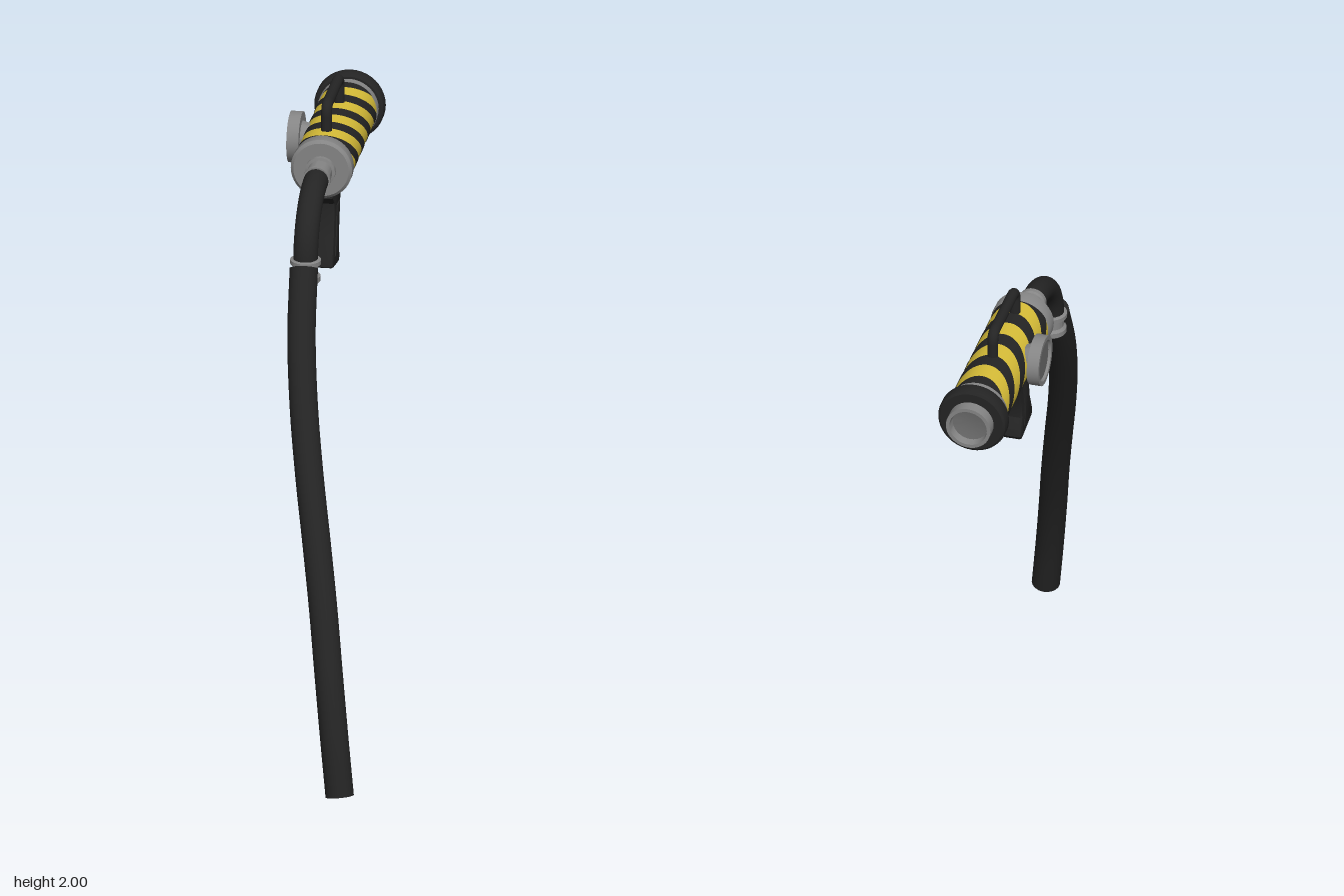
import * as THREE from 'three';
import { toCreasedNormals } from 'three/addons/utils/BufferGeometryUtils.js';

const AX = -0.07, AY = 1.8; // barrel axis

export function createModel() {
  const model = new THREE.Group();
  model.name = 'hoseGun';
  const material = (name, color) => {
    const m = new THREE.MeshStandardMaterial({ color });
    m.name = name;
    return m;
  };
  const black = material('blackRubber', 0x242424);
  const grey = material('greyMetal', 0x858585);
  const darkGrey = material('darkMetal', 0x6c6c6c);
  const yellow = material('yellowPaint', 0xd8be38);
  const red = material('redTrigger', 0xd2332e);
  black.side = THREE.DoubleSide;

  const add = (name, geometry, mat, parent = model) => {
    const mesh = new THREE.Mesh(geometry, mat);
    mesh.name = name;
    parent.add(mesh);
    return mesh;
  };
  const lathe = (points, segments = 40) => toCreasedNormals(
    new THREE.LatheGeometry(points.map(([r, d]) => new THREE.Vector2(r, d)), segments), 0.6);

  // Turned part along the barrel; profile is [radius, distance towards the back]
  const barrelPart = (name, points, mat) => {
    const g = lathe(points).rotateX(-Math.PI / 2);
    return add(name, g.translate(AX, AY, 0), mat);
  };

  // Round tube with closed ends
  const tube = (name, curve, radius, segments, mat) => {
    const group = new THREE.Group();
    group.name = name;
    model.add(group);
    add(name + 'Wall', new THREE.TubeGeometry(curve, segments, radius, 20), mat, group);
    for (const t of [0, 1]) {
      const cap = add(name + 'Cap', new THREE.CircleGeometry(radius, 20), mat, group);
      const dir = curve.getTangentAt(t).multiplyScalar(t ? 1 : -1);
      cap.position.copy(curve.getPointAt(t));
      cap.quaternion.setFromUnitVectors(new THREE.Vector3(0, 0, 1), dir);
    }
  };

  // Side outline [distance back, height], given thickness across x
  const sidePlate = (name, pts, width, bevel, mat) => {
    const shape = new THREE.Shape(pts.map(([a, b]) => new THREE.Vector2(a, b)));
    const depth = width - 2 * bevel;
    const g = new THREE.ExtrudeGeometry(shape, {
      depth, bevelEnabled: bevel > 0, bevelThickness: bevel, bevelSize: bevel,
      bevelOffset: -bevel, bevelSegments: 2,
    });
    g.translate(0, 0, -depth / 2).rotateY(Math.PI / 2).translate(AX, 0, 0);
    return add(name, toCreasedNormals(g, 0.5), mat);
  };

  // Barrel, collars and rear cup
  barrelPart('barrel', [[0.097, 0.25], [0.097, 0.79]], yellow);
  barrelPart('frontCollar', [[0, 0.213], [0.092, 0.213], [0.102, 0.222], [0.102, 0.262],
    [0.097, 0.272], [0.09, 0.272]], grey);
  barrelPart('rearCollar', [[0.09, 0.772], [0.1, 0.772], [0.1, 0.81], [0, 0.81]], grey);
  barrelPart('rearBumper', [[0.07, 0.8], [0.107, 0.8], [0.114, 0.805], [0.117, 0.815], [0.117, 0.84],
    [0.114, 0.85], [0.107, 0.855], [0.07, 0.855]], black);
  barrelPart('rearCup', [[0.076, 0.84], [0.076, 0.895], [0.064, 0.895], [0.06, 0.865]], grey);
  barrelPart('rearCupFloor', [[0.061, 0.867], [0.035, 0.862], [0, 0.862]], darkGrey);
  barrelPart('frontStem', [[0, 0.112], [0.046, 0.112], [0.046, 0.128], [0.041, 0.134], [0.041, 0.19],
    [0.05, 0.192], [0.05, 0.208], [0.043, 0.213]], grey);

  // Slanted warning stripes: bands just above the barrel surface
  const r = 0.0985, front = -0.27, back = -0.774, steps = 64;
  for (let c = -0.215; c > -0.9; c -= 0.128) {
    const pos = [], nor = [], idx = [];
    for (let i = 0; i <= steps; i++) {
      const a = (i / steps) * Math.PI * 2, x = Math.cos(a), y = Math.sin(a);
      for (const w of [0.03, -0.03]) {
        pos.push(AX + r * x, AY + r * y, THREE.MathUtils.clamp(c + r * y + w, back, front));
        nor.push(x, y, 0);
      }
      const k = i * 2;
      if (i < steps) idx.push(k, k + 1, k + 2, k + 2, k + 1, k + 3);
    }
    const g = new THREE.BufferGeometry();
    g.setAttribute('position', new THREE.Float32BufferAttribute(pos, 3));
    g.setAttribute('normal', new THREE.Float32BufferAttribute(nor, 3));
    g.setIndex(idx);
    // wind outward
    const ix = g.index.array;
    for (let i = 0; i < ix.length; i += 3) [ix[i + 1], ix[i + 2]] = [ix[i + 2], ix[i + 1]];
    g.index.needsUpdate = true;
    add('warningStripe', g, black);
  }

  // Round cap on the right side
  const side = (name, pts, mat) => add(name,
    lathe(pts).rotateZ(Math.PI / 2).translate(AX, 1.815, -0.465), mat);
  side('sideCap', [[0.045, 0.07], [0.055, 0.102], [0.085, 0.102], [0.085, 0.142], [0.07, 0.142],
    [0.066, 0.132]], grey);
  side('sideCapFace', [[0.067, 0.133], [0, 0.133]], darkGrey);

  // Carrying handle
  const v = (x, y, z) => new THREE.Vector3(x, y, z);
  const handle = new THREE.CurvePath();
  const corner = 0.035, top = 1.982, hf = -0.33, hb = -0.598;
  handle.add(new THREE.LineCurve3(v(AX, 1.88, hf), v(AX, top - corner, hf)));
  handle.add(new THREE.QuadraticBezierCurve3(v(AX, top - corner, hf), v(AX, top, hf), v(AX, top, hf - corner)));
  handle.add(new THREE.LineCurve3(v(AX, top, hf - corner), v(AX, top, hb + corner)));
  handle.add(new THREE.QuadraticBezierCurve3(v(AX, top, hb + corner), v(AX, top, hb), v(AX, top - corner, hb)));
  handle.add(new THREE.LineCurve3(v(AX, top - corner, hb), v(AX, 1.88, hb)));
  tube('carryHandle', handle, 0.018, 60, black);

  // Pistol grip, side panels and trigger
  sidePlate('grip', [[0.25, 1.715], [0.25, 1.685], [0.285, 1.655], [0.285, 1.62], [0.27, 1.54],
    [0.243, 1.475], [0.24, 1.448], [0.26, 1.438], [0.37, 1.42], [0.382, 1.435], [0.38, 1.462],
    [0.362, 1.5], [0.365, 1.54], [0.392, 1.62], [0.42, 1.662], [0.485, 1.668], [0.5, 1.685],
    [0.5, 1.715]], 0.072, 0.01, black);
  sidePlate('gripPanel', [[0.312, 1.64], [0.298, 1.54], [0.275, 1.475], [0.347, 1.462],
    [0.343, 1.54], [0.368, 1.64]], 0.08, 0.003, black);
  sidePlate('trigger', [[0.39, 1.68], [0.405, 1.62], [0.4, 1.588], [0.432, 1.583], [0.44, 1.6],
    [0.437, 1.63], [0.45, 1.68]], 0.03, 0.004, red);

  // Elbow, joint collar and hose
  tube('elbow', new THREE.CubicBezierCurve3(v(AX, AY, -0.12), v(AX, AY, 0.014),
    v(AX, 1.71, 0.113), v(AX, 1.59, 0.113)), 0.041, 28, black);
  add('jointCollar', lathe([[0, 1.53], [0.044, 1.53], [0.049, 1.535], [0.049, 1.552], [0.04, 1.56],
    [0.04, 1.588], [0.051, 1.594], [0.051, 1.608], [0.04, 1.612]]).translate(AX, 0, 0.111), grey);
  tube('hose', new THREE.CatmullRomCurve3([v(-0.07, 1.59, 0.15), v(-0.06, 1.4, 0.262),
    v(-0.035, 1.2, 0.375), v(0, 1, 0.482), v(0.04, 0.8, 0.583), v(0.077, 0.6, 0.675),
    v(0.108, 0.4, 0.755), v(0.136, 0.2, 0.815), v(0.16, 0.013, 0.853)]), 0.047, 60, black);

  return model;
}
